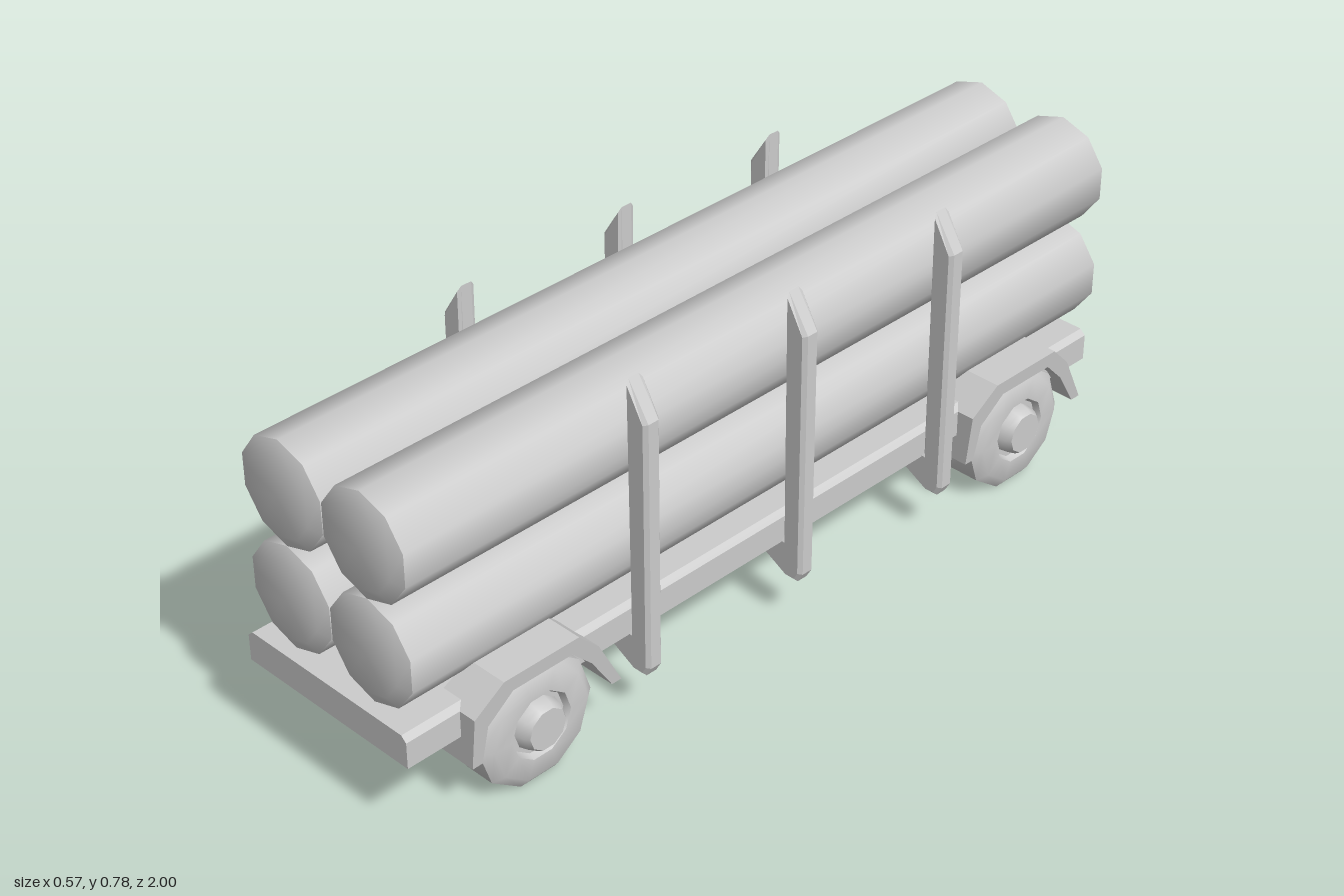
import * as THREE from 'three';
import { toCreasedNormals } from 'three/addons/utils/BufferGeometryUtils.js';

const smooth = new THREE.MeshStandardMaterial({ color: 0xcccccc });
const flat = new THREE.MeshStandardMaterial({ color: 0xcccccc, flatShading: true });

function add(parent, name, geometry, material = flat) {
  const mesh = new THREE.Mesh(geometry, material);
  mesh.name = name;
  parent.add(mesh);
  return mesh;
}

const toShape = (points) => new THREE.Shape(points.map(([x, y]) => new THREE.Vector2(x, y)));

function extrude(points, depth, bevel = 0) {
  return new THREE.ExtrudeGeometry(toShape(points), {
    depth: depth - 2 * bevel, bevelEnabled: bevel > 0, bevelSegments: 1,
    bevelSize: bevel, bevelThickness: bevel, bevelOffset: -bevel,
  }).translate(0, 0, bevel);
}

// Ten-sided turned part, smooth around and creased at its rims
function turned(points) {
  const profile = points.map(([r, h]) => new THREE.Vector2(r, h));
  return toCreasedNormals(new THREE.LatheGeometry(profile, 10), 0.7);
}

// Arched mudguard round a wheel, narrowing towards its lower edge
function mudguard(side) {
  const arch = [
    [0.17, 0.127], [0.17, 0.25], [0.1, 0.305], [-0.09, 0.305], [-0.145, 0.25], [-0.215, 0.125],
    [-0.19, 0.125], [-0.13, 0.215], [-0.075, 0.27], [0.075, 0.27], [0.135, 0.215], [0.145, 0.127],
  ];
  const g = extrude(arch, 1).rotateY(-Math.PI / 2);
  const p = g.attributes.position;
  for (let i = 0; i < p.count; i++) {
    const t = side > 0 ? p.getX(i) + 1 : -p.getX(i);
    const k = (p.getY(i) - 0.125) / 0.18;
    const inner = 0.13 + 0.05 * k;
    const outer = 0.258 + 0.019 * k;
    p.setX(i, side * (inner + (outer - inner) * t));
  }
  g.computeVertexNormals();
  return g;
}

export function createModel() {
  const model = new THREE.Group();
  model.name = 'logTrailer';

  // Deck slab with chamfered top edges
  const deck = [[-0.23, 0.19], [0.23, 0.19], [0.23, 0.25], [0.217, 0.262], [-0.217, 0.262], [-0.23, 0.25]];
  add(model, 'deck', extrude(deck, 1.965).translate(0, 0, -0.965));

  // Chassis under the deck, sloping up at the front
  const chassis = [[-0.89, 0.127], [0.79, 0.127], [0.87, 0.195], [-0.89, 0.195]];
  add(model, 'chassis', extrude(chassis, 0.264).rotateY(-Math.PI / 2).translate(0.132, 0, 0));

  // Four stacked logs with chamfered ends
  const logProfile = [[0, -0.995], [0.09, -0.995], [0.1185, -0.982], [0.1185, 0.975], [0.09, 0.988], [0, 0.988]];
  const logGeometry = turned(logProfile).rotateX(Math.PI / 2);
  for (const y of [0.387, 0.624]) {
    for (const x of [-0.114, 0.114]) {
      add(model, 'log', logGeometry, smooth).position.set(x, y, 0);
    }
  }

  // Tyre with chamfered shoulders, recessed rim and protruding hub
  const wheelProfile = [
    [0, -0.054], [0.12, -0.054], [0.143, -0.036], [0.143, 0.036], [0.12, 0.054],
    [0.075, 0.054], [0.068, 0.04], [0.058, 0.04], [0.053, 0.06], [0.046, 0.071], [0, 0.071],
  ];
  const wheelGeometry = turned(wheelProfile).rotateZ(-Math.PI / 2);

  // Upright with slanted top and a foot reaching under the deck
  const stake = [
    [0.231, 0.78], [0.231, 0.2], [0.132, 0.2], [0.132, 0.165],
    [0.24, 0.107], [0.27, 0.107], [0.283, 0.13], [0.283, 0.7],
  ];
  const stakeGeometry = extrude(stake, 0.042, 0.008).translate(0, 0, -0.021);

  for (const side of [-1, 1]) {
    const turn = side > 0 ? 0 : Math.PI;
    for (const z of [0.7, -0.707]) {
      const wheel = add(model, 'wheel', wheelGeometry, smooth);
      wheel.position.set(side * 0.211, 0.138, z);
      wheel.rotation.y = turn;
      add(model, 'mudguard', mudguard(side)).position.z = z;
    }
    for (const z of [0.415, -0.015, -0.445]) {
      const post = add(model, 'stake', stakeGeometry);
      post.position.z = z;
      post.rotation.y = turn;
    }
  }

  // Axles joining the wheels
  for (const z of [0.7, -0.707]) {
    const axle = new THREE.CylinderGeometry(0.015, 0.015, 0.34, 8).rotateZ(Math.PI / 2);
    add(model, 'axle', axle, smooth).position.set(0, 0.145, z);
  }
  return model;
}
